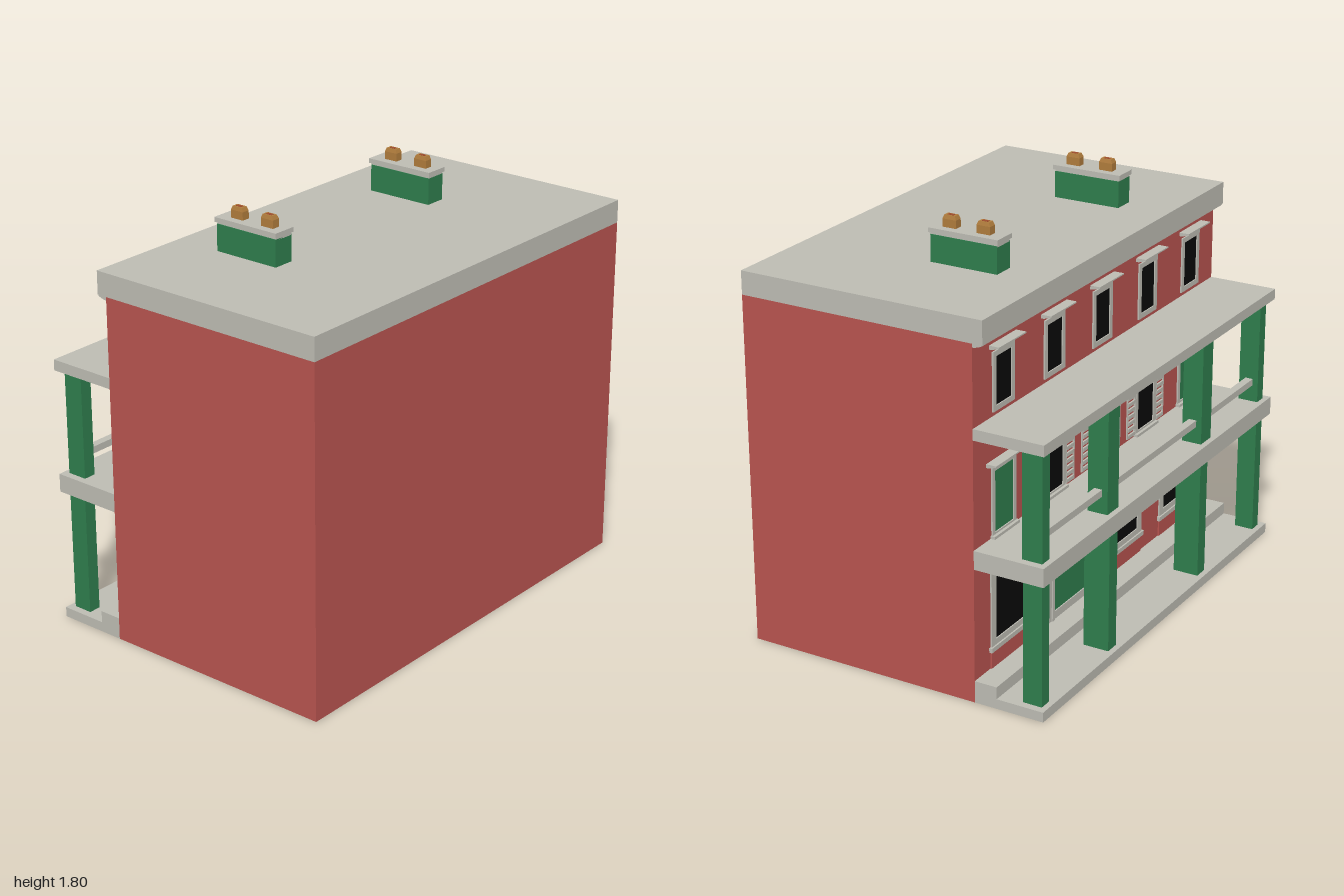
import * as THREE from 'three';

const mat = (color) => new THREE.MeshStandardMaterial({ color });
const RED = mat(0xb8544f), GREEN = mat(0x2f7d4d), STONE = mat(0xbdbcb3);
const BLACK = mat(0x0a0a0a), CLAY = mat(0xb07c3c), RUST = mat(0x9c4a2c);
const WALL = -0.37; // z of the street facade, which faces -z

export function createModel() {
  const model = new THREE.Group();
  model.name = 'terraceHouse';

  // box from its extents
  function box(name, material, x0, x1, y0, y1, z0, z1, parent = model) {
    const mesh = new THREE.Mesh(new THREE.BoxGeometry(x1 - x0, y1 - y0, z1 - z0), material);
    mesh.position.set((x0 + x1) / 2, (y0 + y1) / 2, (z0 + z1) / 2);
    mesh.name = name;
    parent.add(mesh);
    return mesh;
  }

  // thin panel standing proud of the facade by d
  const panel = (name, m, x, w, y0, y1, d, parent) =>
    box(name, m, x - w / 2, x + w / 2, y0, y1, WALL - d, WALL + 0.005, parent);

  // wedge ledge running along x: flat top, underside sloping back to the wall
  function ledge(name, x, w, top, depth, h, parent = model) {
    const s = new THREE.Shape();
    s.moveTo(0, 0);
    s.lineTo(depth, 0);
    s.lineTo(depth, -h * 0.35);
    s.lineTo(depth * 0.25, -h);
    s.lineTo(0, -h);
    const g = new THREE.ExtrudeGeometry(s, { depth: w, bevelEnabled: false });
    g.rotateY(Math.PI / 2); // profile now runs to -z, extrusion along +x
    const mesh = new THREE.Mesh(g, STONE);
    mesh.position.set(x - w / 2, top, WALL);
    mesh.name = name;
    parent.add(mesh);
  }

  // rectangular frame with an opening
  function frame(x, w, y0, y1, t, d, parent) {
    const s = new THREE.Shape();
    s.moveTo(-w / 2, y0); s.lineTo(w / 2, y0); s.lineTo(w / 2, y1); s.lineTo(-w / 2, y1);
    const hole = new THREE.Path();
    hole.moveTo(-w / 2 + t, y0 + t); hole.lineTo(-w / 2 + t, y1 - t);
    hole.lineTo(w / 2 - t, y1 - t); hole.lineTo(w / 2 - t, y0 + t);
    s.holes.push(hole);
    const mesh = new THREE.Mesh(new THREE.ExtrudeGeometry(s, { depth: d, bevelEnabled: false }), STONE);
    mesh.position.set(x, 0, WALL - d);
    mesh.name = 'frame';
    parent.add(mesh);
  }

  // framed opening filled with dark glass or a green door
  function opening(name, fill, x, w, y0, y1, t) {
    const g = new THREE.Group();
    g.name = name;
    panel('infill', fill, x, w - t, y0 + t / 2, y1 - t / 2, 0.002, g);
    frame(x, w, y0, y1, t, 0.007, g);
    model.add(g);
    return g;
  }

  // main block, roof and cornice
  box('walls', RED, -1, 1, 0, 1.51, WALL, 0.685);
  box('roof', STONE, -1, 1, 1.51, 1.61, -0.415, 0.685);
  ledge('cornice', 0, 2, 1.51, 0.04, 0.015);

  // porch base, step, balcony and porch roof
  box('porchBase', STONE, -1, 1, 0, 0.043, -0.68, WALL);
  box('porchStep', STONE, -1, 1, 0.043, 0.095, -0.47, WALL);
  box('balconyFloor', STONE, -1, 1, 0.58, 0.66, -0.68, WALL);
  box('porchRoof', STONE, -1, 1, 1.12, 1.167, -0.68, WALL);
  box('balconyRail', STONE, -0.94, 0.94, 0.735, 0.765, -0.63, -0.595);

  // columns on both floors
  for (const s of [-1, 1]) {
    const column = (name, x, w, y0, y1, z1) =>
      box(name, GREEN, s * x - w / 2, s * x + w / 2, y0, y1, -0.655, z1);
    column('outerLowerColumn', 0.94, 0.055, 0.043, 0.58, -0.57);
    column('innerLowerColumn', 0.4, 0.065, 0.043, 0.58, -0.54);
    column('outerUpperColumn', 0.94, 0.055, 0.66, 1.12, -0.565);
    column('innerUpperColumn', 0.41, 0.09, 0.66, 1.12, -0.565);
  }

  // ground floor: three wide windows and the front door
  for (const x of [0.72, -0.21, -0.7]) {
    const g = opening('groundWindow', BLACK, x, 0.32, 0.18, 0.565, 0.035);
    panel('windowApron', RED, x, 0.32, 0.095, 0.18, 0.006, g);
    panel('sill', STONE, x, 0.34, 0.17, 0.19, 0.014, g);
  }
  const door = opening('frontDoor', GREEN, 0.245, 0.37, 0.095, 0.565, 0.035);
  panel('doorPost', STONE, 0.4, 0.018, 0.095, 0.565, 0.012, door);
  panel('doorPost', STONE, 0.09, 0.018, 0.095, 0.565, 0.012, door);

  // five bays on the two upper floors
  for (let i = -2; i <= 2; i++) {
    const x = i * 0.39;
    const isDoor = Math.abs(i) === 2;
    const g = opening(isDoor ? 'balconyDoor' : 'balconyWindow', isDoor ? GREEN : BLACK,
      x, 0.18, 0.66, 0.96, 0.02);
    panel('sill', STONE, x, 0.19, 0.66, 0.672, 0.02, g);
    ledge('hood', x, 0.25, 0.987, 0.045, 0.016, g);

    // louvred shutters beside the middle three windows
    if (!isDoor) for (const s of [-1, 1]) {
      const sx = x + s * 0.128;
      for (const e of [-1, 1]) panel('shutterStile', STONE, sx + e * 0.032, 0.008, 0.67, 0.955, 0.006, g);
      for (let k = 0; k < 10; k++) {
        const y = 0.672 + k * 0.029;
        panel('shutterSlat', STONE, sx, 0.06, y, y + 0.016, 0.008, g);
      }
    }

    const top = opening('topWindow', BLACK, x, 0.16, 1.185, 1.43, 0.022);
    ledge('hood', x, 0.2, 1.463, 0.045, 0.016, top);
  }

  // chimneys with a cap and two tapered pots each
  for (const x of [-0.49, 0.49]) {
    const g = new THREE.Group();
    g.name = 'chimney';
    box('stack', GREEN, x - 0.048, x + 0.048, 1.61, 1.725, -0.2, 0.105, g);
    box('capLower', STONE, x - 0.045, x + 0.045, 1.72, 1.735, -0.2, 0.105, g);
    box('cap', STONE, x - 0.054, x + 0.054, 1.733, 1.753, -0.207, 0.112, g);
    for (const z of [0.036, -0.12]) {
      box('pot', CLAY, x - 0.018, x + 0.018, 1.753, 1.787, z - 0.031, z + 0.031, g);
      const geo = new THREE.CylinderGeometry(0.55, Math.SQRT1_2, 1, 4).toNonIndexed();
      geo.rotateY(Math.PI / 4);
      geo.scale(0.036, 0.016, 0.062);
      geo.computeVertexNormals();
      const taper = new THREE.Mesh(geo, CLAY);
      taper.position.set(x, 1.795, z);
      taper.name = 'potTop';
      g.add(taper);
      box('potMouth', RUST, x - 0.008, x + 0.008, 1.8, 1.804, z - 0.014, z + 0.014, g);
    }
    model.add(g);
  }

  return model;
}
